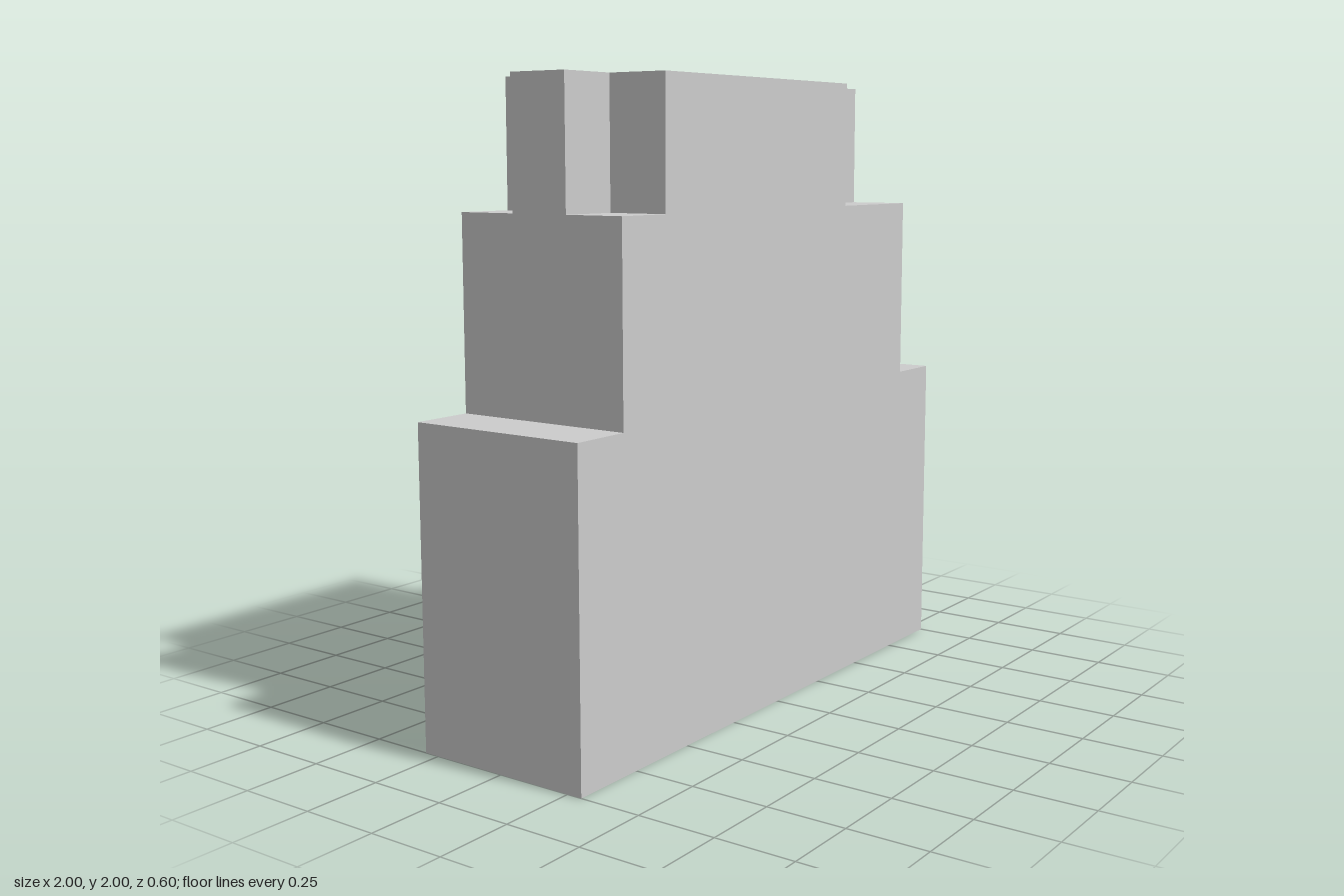
import * as THREE from 'three';

const material = new THREE.MeshStandardMaterial({ color: 0xcccccc, flatShading: true });
const DEPTH = 0.6;

export function createModel() {
  const group = new THREE.Group();
  group.name = 'steppedBlock';

  // Stepped body: one silhouette extruded through the full depth
  const outline = [
    [-1, 0], [1, 0], [1, 1], [0.8, 1], [0.8, 1.6], [0.4, 1.6], [0.4, 2],
    [-0.6, 2], [-0.6, 1.6], [-0.8, 1.6], [-0.8, 1], [-1, 1],
  ].map(([x, y]) => new THREE.Vector2(x, y));
  const bodyGeometry = new THREE.ExtrudeGeometry(new THREE.Shape(outline), {
    depth: DEPTH, bevelEnabled: false,
  });
  bodyGeometry.translate(0, 0, -DEPTH / 2);
  const body = new THREE.Mesh(bodyGeometry, material);
  body.name = 'steppedBody';
  group.add(body);

  // Matching square pieces on the shoulders: a free post and a tongue joined to the top block
  for (const [name, x] of [['post', 0.7], ['tongue', -0.7]]) {
    const piece = new THREE.Mesh(new THREE.BoxGeometry(0.2, 0.4, 0.2), material);
    piece.name = name;
    piece.position.set(x, 1.8, 0);
    group.add(piece);
  }

  return group;
}
